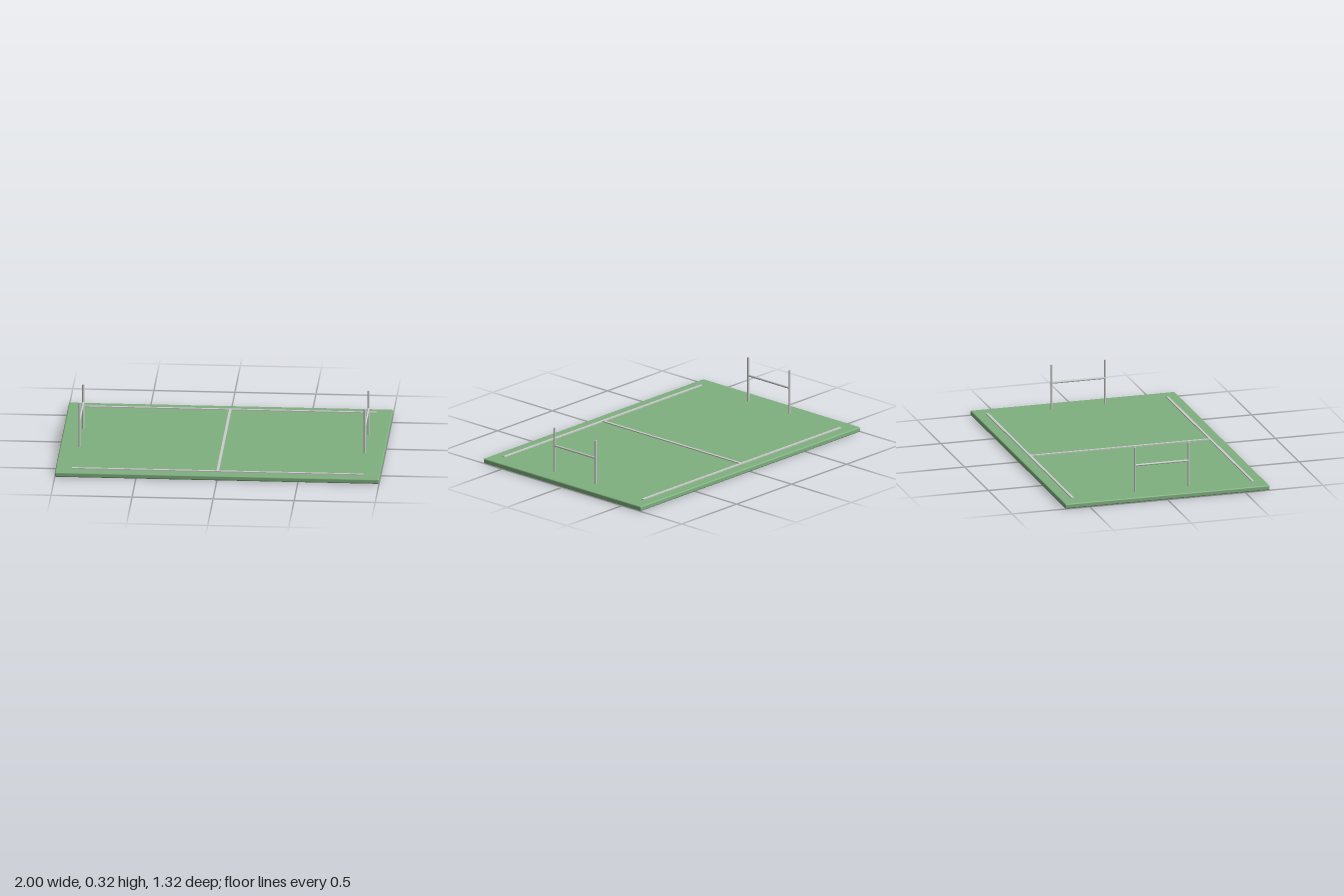
import * as THREE from 'three';
import { RoundedBoxGeometry } from 'three/addons/geometries/RoundedBoxGeometry.js';

export function createModel() {
  const model = new THREE.Group();
  model.name = 'sportsField';
  const green = new THREE.MeshStandardMaterial({ color: 0x7fb07f });
  const grey = new THREE.MeshStandardMaterial({ color: 0xcccccc });

  const add = (parent, name, geometry, material, x, y, z) => {
    const mesh = new THREE.Mesh(geometry, material);
    mesh.name = name;
    mesh.position.set(x, y, z);
    parent.add(mesh);
    return mesh;
  };

  // Turf slab with softly rounded edges
  const top = 0.031;
  add(model, 'turf', new RoundedBoxGeometry(2, top, 1.316, 3, 0.008), green, 0, top / 2, 0);

  // Raised field markings
  const lineHeight = 0.007;
  const lineY = top + lineHeight / 2 - 0.0005;
  for (const side of [-1, 1]) {
    add(model, side > 0 ? 'frontSideline' : 'backSideline',
      new THREE.BoxGeometry(1.8, lineHeight, 0.016), grey, 0, lineY, side * 0.58);
  }
  add(model, 'halfwayLine', new THREE.BoxGeometry(0.016, lineHeight, 1.15), grey, 0, lineY, 0);

  // H-shaped goals at both ends
  const postRadius = 0.0065, postTop = 0.318, postZ = 0.172;
  const postHeight = postTop - top + 0.002;
  for (const side of [-1, 1]) {
    const goal = new THREE.Group();
    goal.name = side > 0 ? 'leftGoal' : 'rightGoal';
    goal.position.x = side * 0.88;
    for (const z of [-postZ, postZ]) {
      add(goal, 'goalPost', new THREE.CylinderGeometry(postRadius, postRadius, postHeight, 16),
        grey, 0, postTop - postHeight / 2, z);
    }
    const bar = add(goal, 'crossbar',
      new THREE.CylinderGeometry(postRadius, postRadius, postZ * 2, 16), grey, 0, 0.201, 0);
    bar.rotation.x = Math.PI / 2;
    model.add(goal);
  }
  return model;
}
